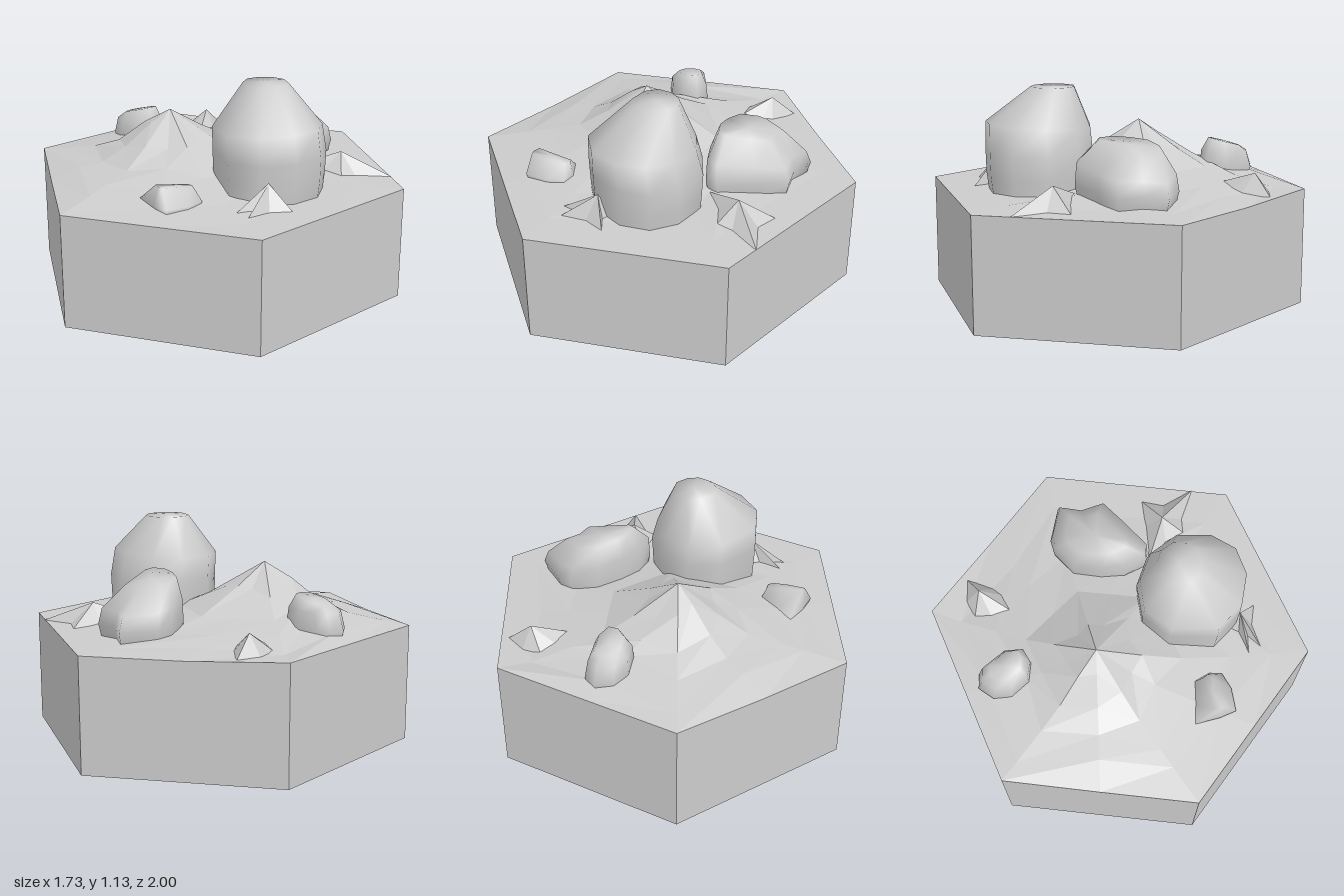
import * as THREE from 'three';

const BASE_H = 0.59;
const flatMat = new THREE.MeshStandardMaterial({ color: 0xcccccc, flatShading: true });
const rockMat = new THREE.MeshStandardMaterial({ color: 0xcccccc });

// small seeded generator for surface irregularity
let seed = 7;
const rand = () => (seed = (seed * 16807) % 2147483647) / 2147483647;

// Surface through successive loops of points, running counterclockwise from above;
// an optional top point closes the last loop
function loft(name, material, loops, top) {
  const n = loops[0].length, index = [], points = loops.flat();
  for (let r = 0; r < loops.length - 1; r++) {
    for (let i = 0; i < n; i++) {
      const j = (i + 1) % n, a = r * n + i, b = r * n + j;
      index.push(a, b, b + n, a, b + n, a + n);
    }
  }
  if (top) {
    const last = points.length - n;
    for (let i = 0; i < n; i++) index.push(last + i, last + (i + 1) % n, points.length);
    points.push(top);
  }
  const geo = new THREE.BufferGeometry();
  geo.setAttribute('position', new THREE.Float32BufferAttribute(points.flat(), 3));
  geo.setIndex(index);
  geo.computeVertexNormals();
  const mesh = new THREE.Mesh(geo, material);
  mesh.name = name;
  return mesh;
}

// Boulder: outline [x, z] relative to its centre;
// layers [y, scaleX, scaleZ, shiftX, shiftZ, slopeX, slopeZ]
function boulder(name, cx, cz, outline, layers) {
  const loops = layers.map(([y, sx, sz, dx = 0, dz = 0, tx = 0, tz = 0]) =>
    outline.map(([x, z]) => [cx + dx + x * sx, y + x * tx + z * tz, cz + dz + z * sz]));
  const [y, , , dx = 0, dz = 0] = layers[layers.length - 1];
  return loft(name, rockMat, loops, [cx + dx, y + 0.003, cz + dz]);
}

// Jagged little outcrop: star of ridges around a peak
const outcrop = (name, x, y, z, outline) =>
  loft(name, flatMat, [outline.map(([px, pz]) => [px, 0.592, pz])], [x, y, z]);

// Hexagon rim: corners and edge midpoints
const rim = [];
for (let k = 0; k < 6; k++) {
  const corner = i => [Math.sin(i * Math.PI / 3), Math.cos(i * Math.PI / 3)];
  const a = corner(k), b = corner(k + 1);
  rim.push(a, [(a[0] + b[0]) / 2, (a[1] + b[1]) / 2]);
}
const rimLoop = (scale, y) => rim.map(([x, z]) => [x * scale, y, z * scale]);

// Height of the hill above the block at a distance from its peak: a cone with a long gentle foot
function hillHeight(d) {
  if (d < 0.36) return 0.32 - d * 0.63;
  return Math.max(0.008, 0.093 - (d - 0.36) * 0.2);
}

// Faceted hill that falls from its peak to the hexagonal rim
function hill() {
  const px = -0.19, pz = 0.15;
  const rings = [0.8, 0.58, 0.38, 0.2].map(t => rim.map(([x, z], i) => {
    const u = t + (rand() - 0.5) * 0.1;
    const dx = (x - px) * u, dz = (z - pz) * u;
    const steep = dz > 0.1 ? 0.88 : 1;
    const ridge = (i % 2 ? 0.96 : 1.04) + (rand() - 0.5) * 0.12;
    return [px + dx, BASE_H + hillHeight(Math.hypot(dx, dz)) * steep * ridge, pz + dz];
  }));
  const lip = rim.map(([x, z]) => [x, BASE_H + (x < -0.6 ? 0.018 : 0.001), z]);
  return loft('hill', flatMat, [rimLoop(1, BASE_H), lip, ...rings], [px, 0.912, pz]);
}

export function createModel() {
  seed = 7;
  const model = new THREE.Group();
  model.name = 'rockyHexTile';

  // hexagonal block with a shallow hollow underneath
  model.add(loft('base', flatMat, [rimLoop(0, 0.04), rimLoop(0.55, 0.01), rimLoop(1, 0), rimLoop(1, BASE_H)]));
  model.add(hill());

  // boulders
  model.add(boulder('largeBoulder', 0.395, 0,
    [[0.02, 0.3], [0.18, 0.23], [0.275, 0.08], [0.285, -0.08], [0.2, -0.21], [0.04, -0.29],
      [-0.13, -0.25], [-0.24, -0.13], [-0.285, 0.04], [-0.2, 0.2]],
    [[0.59, 0.95, 0.95], [0.68, 0.99, 0.97], [0.8, 1, 0.99], [0.93, 0.98, 0.93, 0, 0.018, 0.06],
      [1.127, 0.4, 0.39, -0.06, -0.03]]));
  model.add(boulder('mediumBoulder', 0.09, -0.48,
    [[0.06, 0.22], [0.19, 0.21], [0.22, 0.15], [0.16, -0.05], [0.11, -0.2], [-0.02, -0.21],
      [-0.12, -0.28], [-0.23, -0.12], [-0.24, -0.04], [-0.19, 0.1], [-0.06, 0.18]],
    [[0.59, 0.93, 0.93], [0.66, 1, 1], [0.76, 0.96, 0.94, 0, 0.01, 0, 0.12],
      [0.872, 0.6, 0.62, -0.03, 0.04, 0, 0.12]]));
  model.add(boulder('frontBoulder', 0.28, 0.53,
    [[-0.13, 0.1], [0, 0.12], [0.09, 0.12], [0.12, 0], [0.11, -0.09], [0.05, -0.12], [-0.05, -0.11], [-0.09, 0]],
    [[0.59, 0.88, 0.9], [0.63, 1, 1], [0.705, 0.3, 0.84, 0.01, 0, 0, 0.15]]));
  model.add(boulder('sideBoulder', -0.645, 0.015,
    [[-0.1, 0.08], [-0.01, 0.11], [0.1, 0.08], [0.15, 0], [0.14, -0.08], [0.04, -0.115],
      [-0.05, -0.09], [-0.12, -0.07], [-0.15, 0]],
    [[0.59, 0.88, 0.88], [0.65, 1, 1], [0.74, 0.88, 0.92, 0.01, 0, 0.04], [0.79, 0.6, 0.6, 0.015, -0.01, 0.17]]));

  // outcrops
  model.add(outcrop('rightOutcrop', 0.6, 0.72, 0.2,
    [[0.5, 0.2], [0.57, 0.27], [0.57, 0.41], [0.61, 0.31], [0.65, 0.39], [0.66, 0.25],
      [0.72, 0.15], [0.63, 0.17], [0.58, 0.12]]));
  model.add(outcrop('backOutcrop', 0.46, 0.7, -0.47,
    [[0.25, -0.24], [0.43, -0.34], [0.56, -0.37], [0.58, -0.46], [0.7, -0.6], [0.52, -0.58], [0.42, -0.65], [0.37, -0.5]]));
  model.add(outcrop('leftOutcrop', -0.6, 0.7, -0.47,
    [[-0.68, -0.36], [-0.58, -0.28], [-0.4, -0.22], [-0.46, -0.42], [-0.51, -0.49], [-0.63, -0.6], [-0.68, -0.48]]));
  return model;
}
